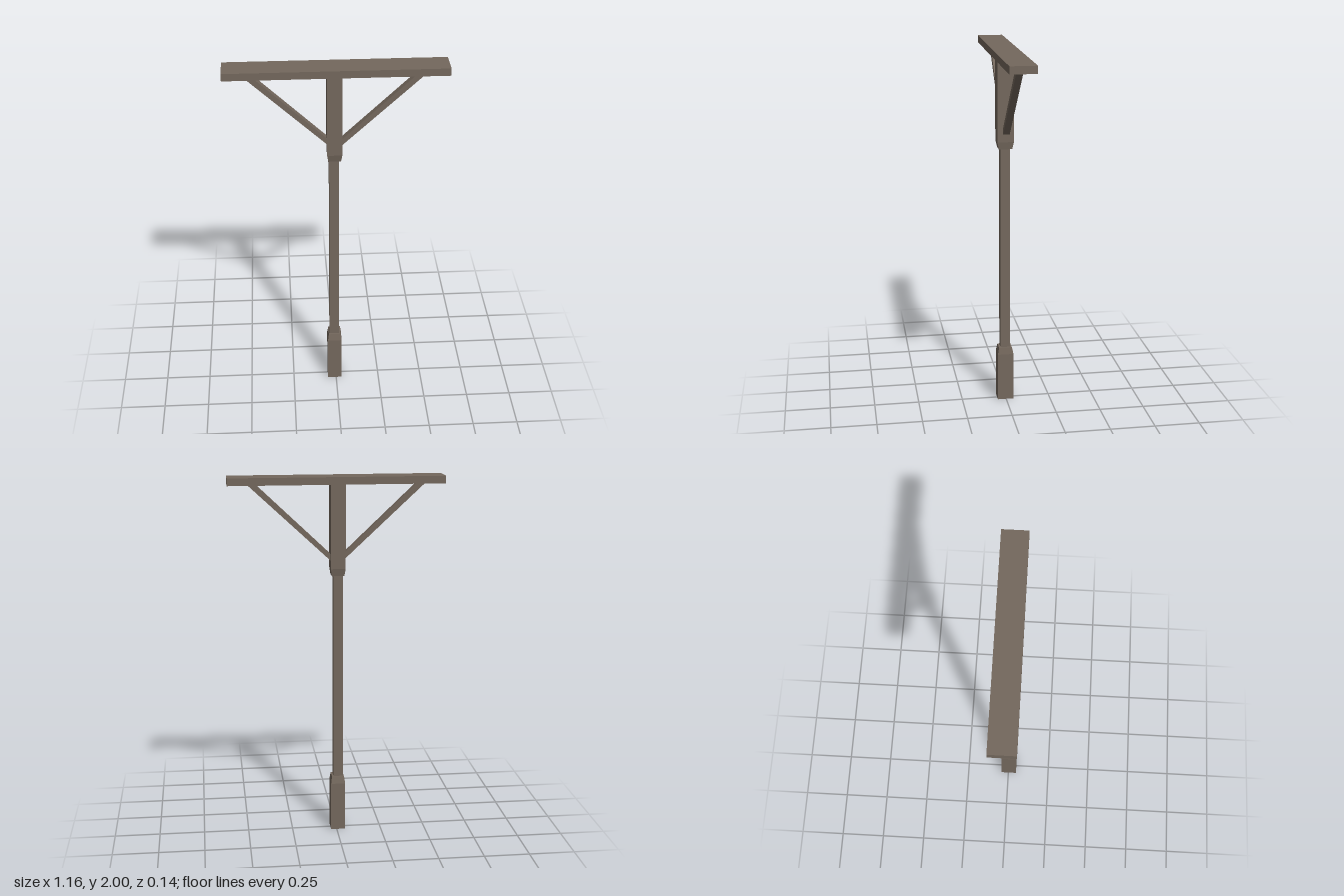
import * as THREE from 'three';

const wood = new THREE.MeshStandardMaterial({ color: 0x74685d, flatShading: true });
wood.name = 'weatheredWood';

const POST_X = -0.008, POST_Z = 0.003;

function add(parent, name, geometry) {
  const mesh = new THREE.Mesh(geometry, wood);
  mesh.name = name;
  parent.add(mesh);
  return mesh;
}

// Box from y0 to y1 whose top and bottom sections can differ
function timber(y0, y1, [bottomW, bottomD], [topW, topD] = [bottomW, bottomD]) {
  const geo = new THREE.BoxGeometry(1, y1 - y0, 1);
  const p = geo.attributes.position;
  for (let i = 0; i < p.count; i++) {
    const top = p.getY(i) > 0;
    p.setX(i, p.getX(i) * (top ? topW : bottomW));
    p.setZ(i, p.getZ(i) * (top ? topD : bottomD));
  }
  geo.translate(0, (y0 + y1) / 2, 0);
  geo.computeVertexNormals();
  return geo;
}

// Diagonal strut: a slanted outline extruded across z
function strut(points, depth) {
  const shape = new THREE.Shape(points.map(([x, y]) => new THREE.Vector2(x, y)));
  const geo = new THREE.ExtrudeGeometry(shape, { depth, bevelEnabled: false });
  return geo.translate(0, 0, -depth / 2);
}

export function createModel() {
  const model = new THREE.Group();
  model.name = 'timberPost';

  // Post with thick, chamfered ends
  const thick = [0.08, 0.09], chamfer = [0.068, 0.073];
  const post = new THREE.Group();
  post.name = 'post';
  post.position.set(POST_X, 0, POST_Z);
  add(post, 'base', timber(0, 0.275, thick));
  add(post, 'baseChamfer', timber(0.275, 0.315, thick, chamfer));
  add(post, 'shaft', timber(0.3, 1.48, [0.053, 0.053])).position.x = -0.002;
  add(post, 'headChamfer', timber(1.465, 1.505, chamfer, thick));
  add(post, 'head', timber(1.505, 1.96, thick));
  model.add(post);

  // Top beam
  add(model, 'beam', timber(1.96, 2, [1.16, 0.14]));

  // Mirrored diagonal braces
  for (const side of [-1, 1]) {
    const outline = [[0.025, 1.539], [0.477, 1.96], [0.432, 1.96], [0.025, 1.574]];
    const brace = add(model, side > 0 ? 'leftBrace' : 'rightBrace',
      strut(outline.map(([x, y]) => [side * x - 0.003, y]), 0.036));
    brace.position.z = -0.001;
  }
  return model;
}
